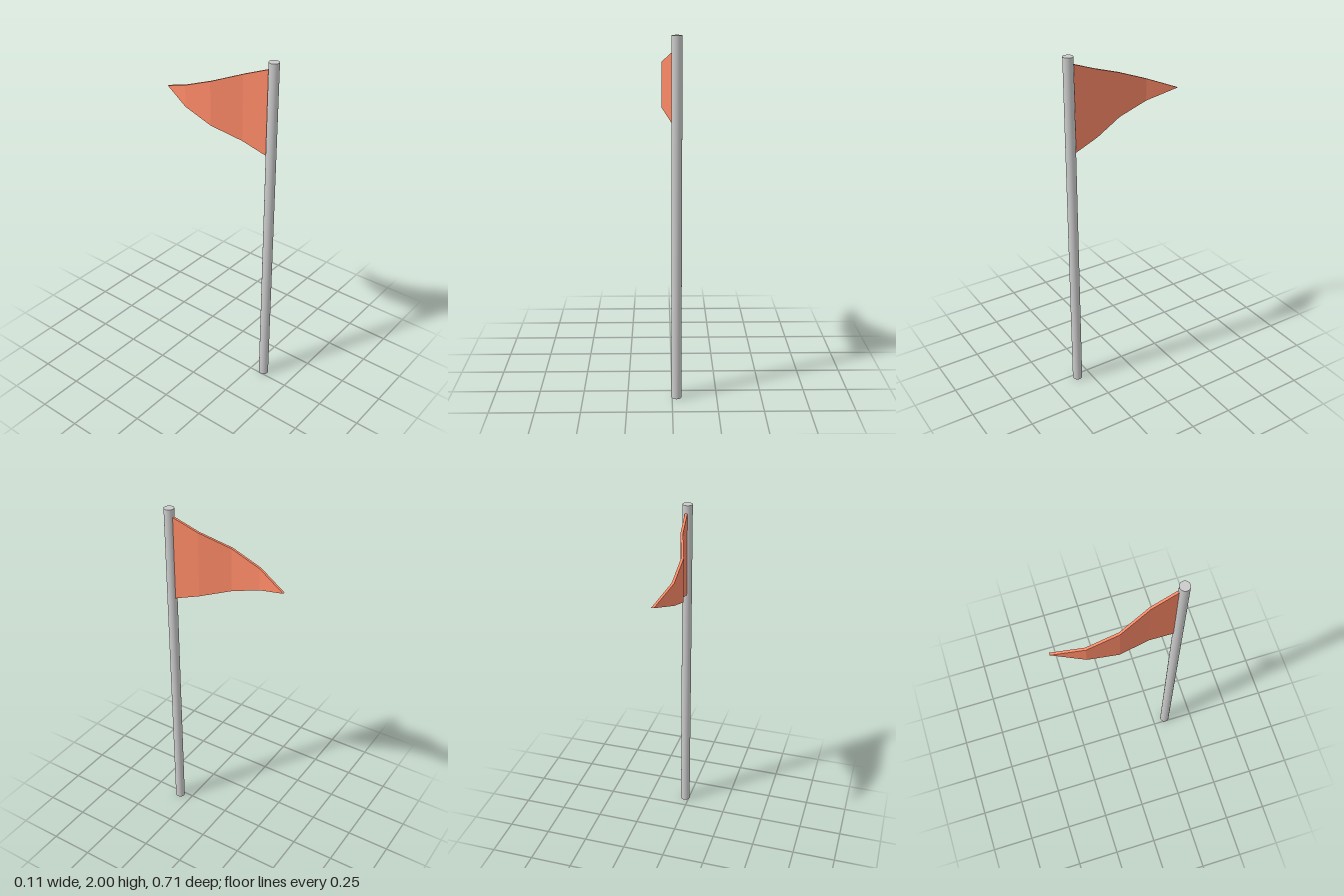
import * as THREE from 'three';

const POLE = { x: 0.024, z: 0.328, radius: 0.028, height: 2 };

// Pennant tapering to a point, folded along its length like cloth in wind
function pennantGeometry() {
  const foldX = [0.028, 0.007, -0.047, -0.047, 0.007];
  const last = foldX.length - 1;
  const half = 0.007;
  const pos = [];

  // Four corners of the cross-section at each fold
  const sections = foldX.map((x, i) => {
    const t = i / last;
    const z = THREE.MathUtils.lerp(POLE.z, -0.357, t);
    const bottom = THREE.MathUtils.lerp(1.465, 1.7, t);
    const top = THREE.MathUtils.lerp(1.966, 1.7, t);
    return [
      [x - half, bottom, z], [x + half, bottom, z],
      [x + half, top, z], [x - half, top, z],
    ];
  });

  const tri = (...points) => points.forEach((p) => pos.push(...p));
  for (let i = 0; i < last; i++) {
    const a = sections[i], b = sections[i + 1];
    for (let j = 0; j < 4; j++) {
      const k = (j + 1) % 4;
      tri(a[j], b[j], a[k]);
      // The top and bottom sheets meet in a line at the tip
      if (i < last - 1 || j % 2 === 0) tri(a[k], b[j], b[k]);
    }
  }
  // Closing face at the pole
  const [c0, c1, c2, c3] = sections[0];
  tri(c0, c1, c2);
  tri(c0, c2, c3);

  const geometry = new THREE.BufferGeometry();
  geometry.setAttribute('position', new THREE.Float32BufferAttribute(pos, 3));
  geometry.computeVertexNormals();
  return geometry;
}

export function createModel() {
  const group = new THREE.Group();
  group.name = 'pennantOnPole';

  // Round pole
  const pole = new THREE.Mesh(
    new THREE.CylinderGeometry(POLE.radius, POLE.radius, POLE.height, 32),
    new THREE.MeshStandardMaterial({ color: 0xcccccc })
  );
  pole.name = 'pole';
  pole.position.set(POLE.x, POLE.height / 2, POLE.z);
  group.add(pole);

  // Flag
  const flag = new THREE.Mesh(
    pennantGeometry(),
    new THREE.MeshStandardMaterial({ color: 0xfa8866, flatShading: true })
  );
  flag.name = 'flag';
  group.add(flag);

  return group;
}
